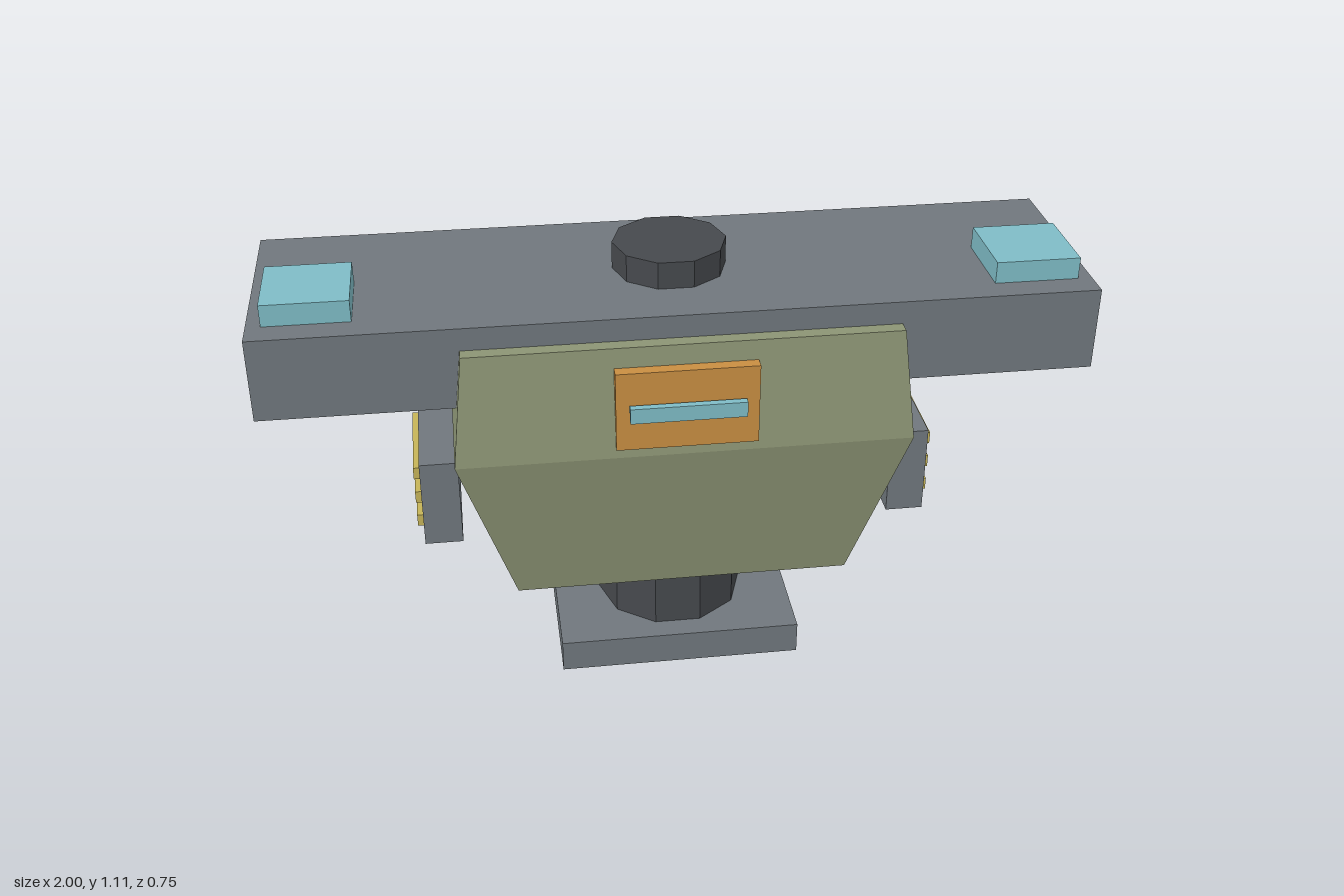
import * as THREE from 'three';

const material = (name, color) => {
  const m = new THREE.MeshStandardMaterial({ color });
  m.name = name;
  return m;
};

export function createModel() {
  const grey = material('steel grey', 0x70777d);
  const dark = material('dark metal', 0x46494d);
  const olive = material('olive armour', 0x8c9474);
  const orange = material('orange', 0xc88e42);
  const cyan = material('pale cyan', 0x7fbcc6);
  const yellow = material('dull yellow', 0xc6b458);

  const model = new THREE.Group();
  model.name = 'torso';
  const C = 0.005; // z of the central axis

  const add = (name, geometry, mat) => {
    const mesh = new THREE.Mesh(geometry, mat);
    mesh.name = name;
    model.add(mesh);
    return mesh;
  };
  // Box given by its limits on each axis
  const box = (name, mat, [x0, x1], [y0, y1], [z0, z1]) =>
    add(name, new THREE.BoxGeometry(x1 - x0, y1 - y0, z1 - z0), mat)
      .position.set((x0 + x1) / 2, (y0 + y1) / 2, (z0 + z1) / 2);
  // Upright ten-sided drum with corners on the x axis
  const drum = (name, r, y0, y1) => {
    const g = new THREE.CylinderGeometry(r, r, y1 - y0, 10, 1, false, Math.PI / 2).toNonIndexed();
    g.computeVertexNormals();
    add(name, g, dark).position.set(0, (y0 + y1) / 2, C);
  };

  // Base and columns
  box('base', grey, [-0.31, 0.31], [0, 0.085], [C - 0.241, C + 0.241]);
  drum('waistColumn', 0.19, 0.08, 0.3);
  drum('neckCap', 0.14, 1.03, 1.105);

  // Faceted hull lofted through three rectangles: y, half width, half depth
  const rings = [[0.292, 0.416, 0.276], [0.705, 0.55, 0.344], [0.98, 0.52, 0.31]]
    .map(([y, w, d]) => [[-w, y, C + d], [w, y, C + d], [w, y, C - d], [-w, y, C - d]]);
  const points = [];
  const quad = (a, b, c, d) => points.push(...a, ...b, ...c, ...a, ...c, ...d);
  for (let r = 0; r < 2; r++) {
    for (let i = 0; i < 4; i++) {
      const j = (i + 1) % 4;
      quad(rings[r][i], rings[r][j], rings[r + 1][j], rings[r + 1][i]);
    }
  }
  quad(...rings[2]);
  quad(...[...rings[0]].reverse());
  const hull = new THREE.BufferGeometry();
  hull.setAttribute('position', new THREE.Float32BufferAttribute(points, 3));
  hull.computeVertexNormals();
  add('hull', hull, olive);

  // Shoulder beam, back plate and chest panel
  box('shoulderBeam', grey, [-1, 1], [0.83, 1.037], [C - 0.275, C + 0.275]);
  box('backPlate', grey, [-0.275, 0.275], [0.346, 0.896], [-0.374, -0.304]);
  box('chestPanel', orange, [-0.17, 0.17], [0.727, 0.931], [0.29, 0.351]);
  box('chestSlit', cyan, [-0.138, 0.138], [0.81, 0.849], [0.356, 0.374]);

  // Shoulder lamps and side vents, mirrored
  for (const [side, s] of [['left', 1], ['right', -1]]) {
    const span = (a, b) => (s > 0 ? [a, b] : [-b, -a]);
    box(side + 'Lamp', cyan, span(0.76, 0.965), [1.037, 1.091], [0.006, 0.212]);
    box(side + 'VentBox', grey, span(0.545, 0.64), [0.383, 0.615], [C - 0.172, C + 0.172]);
    for (let i = 0; i < 3; i++) {
      const y = 0.432 + i * 0.0695;
      box(side + 'VentSlat' + (i + 1), yellow, span(0.63, 0.656),
        [y - 0.016, y + 0.016], [C - 0.137, C + 0.137]);
    }
  }
  return model;
}
